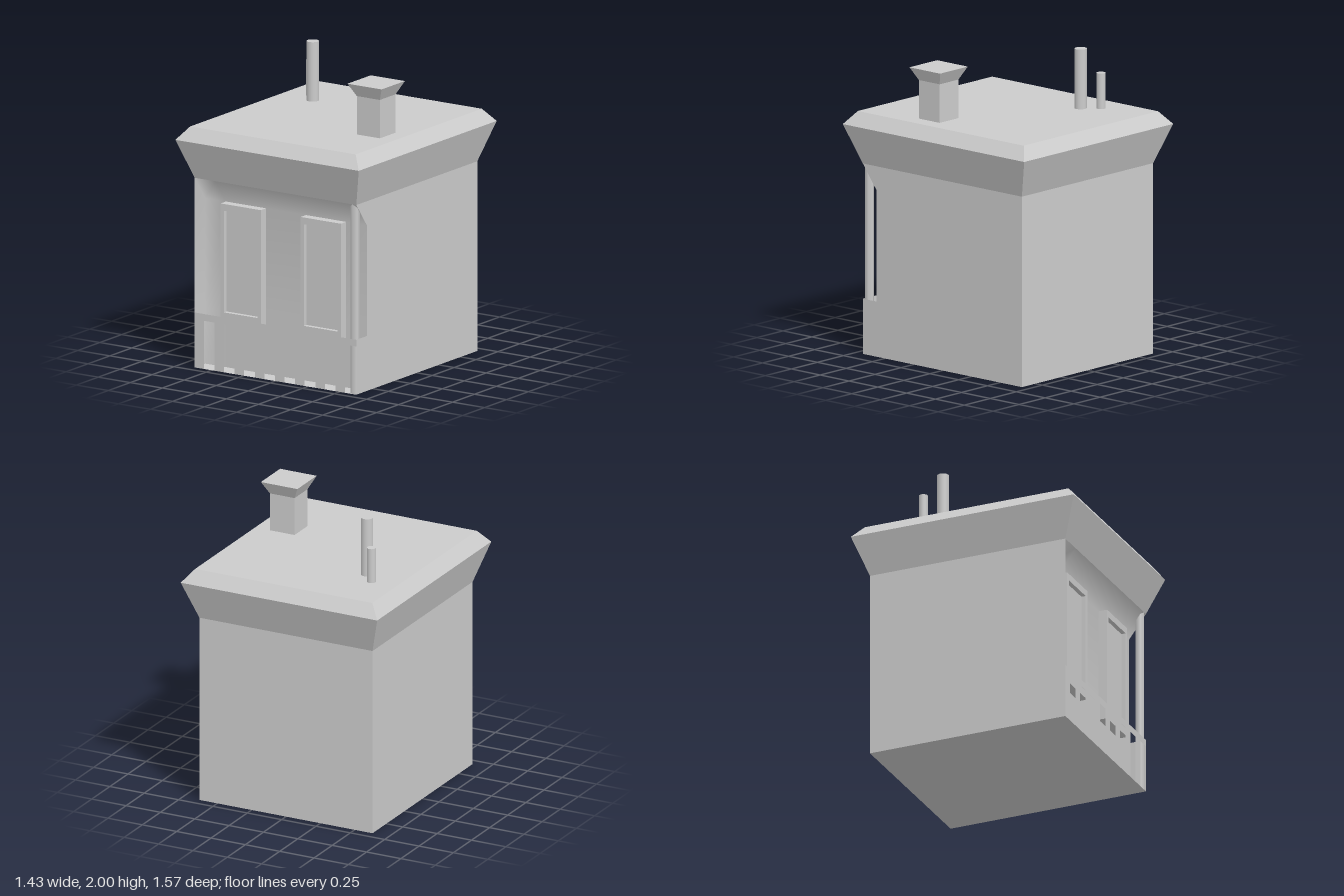
import * as THREE from 'three';

const W = 0.63, D = 0.69, SILL = 0.365, EAVES = 1.26;
const BACK = 0.57, LINTEL = 1.1; // recessed shopfront plane and its top

const solid = new THREE.MeshStandardMaterial({ color: 0xcccccc });
const flat = new THREE.MeshStandardMaterial({ color: 0xcccccc, flatShading: true });
const sheet = new THREE.MeshStandardMaterial({ color: 0xcccccc, side: THREE.DoubleSide });

function add(group, name, geometry, material, x = 0, y = 0, z = 0) {
  const mesh = new THREE.Mesh(geometry, material);
  mesh.name = name;
  mesh.position.set(x, y, z);
  group.add(mesh);
  return mesh;
}

function polygon(points) {
  return new THREE.Shape(points.map(([x, y]) => new THREE.Vector2(x, y)));
}

function rect(x0, y0, x1, y1) {
  return polygon([[x0, y0], [x1, y0], [x1, y1], [x0, y1]]);
}

// Stack of rectangles [halfX, y, halfZ], closed at both ends
function loft(levels) {
  const pos = [], index = [];
  levels.forEach(([x, y, z]) => pos.push(-x, y, z, x, y, z, x, y, -z, -x, y, -z));
  for (let l = 0; l < levels.length - 1; l++) {
    for (let i = 0; i < 4; i++) {
      const a = l * 4 + i, b = l * 4 + (i + 1) % 4;
      index.push(a, b, b + 4, a, b + 4, a + 4);
    }
  }
  const t = (levels.length - 1) * 4;
  index.push(0, 2, 1, 0, 3, 2, t, t + 1, t + 2, t, t + 2, t + 3);
  const g = new THREE.BufferGeometry();
  g.setAttribute('position', new THREE.Float32BufferAttribute(pos, 3));
  g.setIndex(index);
  const out = g.toNonIndexed();
  out.computeVertexNormals();
  return out;
}

// Back wall and sloping ceiling of the recess, with softly blended normals
function recessGeometry() {
  const xs = [-W, -0.47, -0.16, 0.16, 0.47, W];
  const rows = [[0, BACK], [SILL, BACK], [LINTEL, BACK], [EAVES, D]];
  const pos = [], index = [];
  rows.forEach(([y, z]) => xs.forEach((x) => pos.push(x, y, z)));
  const n = xs.length;
  for (let r = 0; r < rows.length - 1; r++) {
    for (let c = 0; c < n - 1; c++) {
      const a = r * n + c;
      index.push(a, a + 1, a + n + 1, a, a + n + 1, a + n);
    }
  }
  // inner cheek at the closed end, sharing the corner vertices
  const f = pos.length / 3;
  pos.push(-W, 0, D, -W, SILL, D);
  index.push(f, 0, n, f, n, f + 1, f + 1, n, 2 * n, f + 1, 2 * n, 3 * n);
  const g = new THREE.BufferGeometry();
  g.setAttribute('position', new THREE.Float32BufferAttribute(pos, 3));
  g.setIndex(index);
  g.computeVertexNormals();
  return g;
}

export function createModel() {
  const model = new THREE.Group();
  model.name = 'cornerShop';

  // Walls and floor
  add(model, 'backWall', new THREE.PlaneGeometry(2 * W, EAVES), sheet, 0, EAVES / 2, -D).rotation.y = Math.PI;
  add(model, 'floor', new THREE.PlaneGeometry(2 * W, 2 * D), sheet).rotation.x = Math.PI / 2;
  add(model, 'rightWall', new THREE.PlaneGeometry(2 * D, EAVES), solid, -W, EAVES / 2, 0).rotation.y = -Math.PI / 2;
  const notched = polygon([[-D, 0], [D, 0], [D, EAVES], [-D, EAVES], [-BACK, LINTEL], [-BACK, SILL], [-D, SILL]]);
  add(model, 'leftWall', new THREE.ShapeGeometry(notched), sheet, W, 0, 0).rotation.y = Math.PI / 2;
  add(model, 'shopfrontRecess', recessGeometry(), solid);

  // Low front screen: a rail with bars hanging down to the floor
  const comb = [[W, SILL], [-W, SILL], [-W, 0]];
  for (let i = 0; i < 8; i++) {
    const x = -0.558 + i * 0.157;
    const end = i === 7 ? W : x + 0.083;
    comb.push([x, 0], [x, 0.32], [end, 0.32]);
    if (i < 7) comb.push([end, 0]);
  }
  add(model, 'frontScreen', new THREE.ShapeGeometry(polygon(comb)), sheet, 0, 0, D);

  // Corner post at the open end
  add(model, 'cornerPost', new THREE.CylinderGeometry(0.03, 0.03, EAVES, 6), solid, 0.6, EAVES / 2, 0.66);

  // Framed windows
  for (const side of [-1, 1]) {
    const win = new THREE.Group();
    win.name = side < 0 ? 'rightWindow' : 'leftWindow';
    win.position.set(side * 0.312, 0, BACK);
    const frame = rect(-0.157, 0.33, 0.157, LINTEL);
    frame.holes.push(rect(-0.132, 0.38, 0.132, 1.055));
    add(win, 'windowFrame', new THREE.ExtrudeGeometry(frame, { depth: 0.06, bevelEnabled: false }), solid);
    add(win, 'windowPane', new THREE.PlaneGeometry(0.27, 0.69), solid, 0, 0.717, 0.03);
    model.add(win);
  }

  // Roof with flared cornice
  add(model, 'roof', loft([[W, EAVES, D], [0.715, 1.52, 0.787], [0.645, 1.605, 0.72]]), flat);

  // Square vent with a flared cap
  add(model, 'chimney', loft([[0.09, 1.6, 0.09], [0.09, 1.86, 0.09], [0.133, 1.945, 0.133]]), flat, 0.448, 0, 0.197);

  // Round flue pipes
  for (const [name, x, z, r, top] of [['tallPipe', -0.378, -0.288, 0.04, 2], ['shortPipe', -0.463, -0.388, 0.03, 1.84]]) {
    add(model, name, new THREE.CylinderGeometry(r, r, top - 1.6, 16), solid, x, (top + 1.6) / 2, z);
  }
  return model;
}
